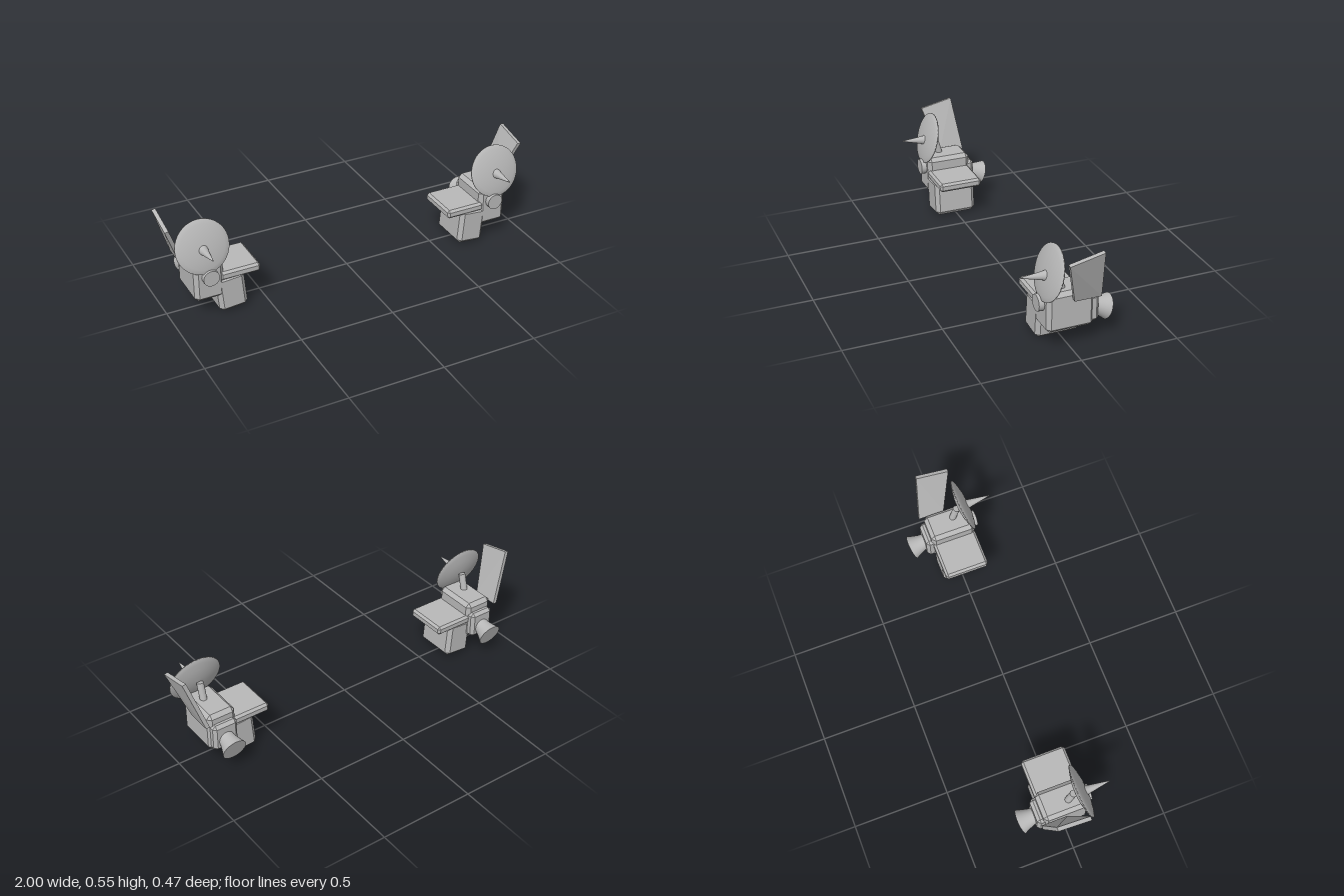
import * as THREE from 'three';
import { ConvexGeometry } from 'three/addons/geometries/ConvexGeometry.js';

const UP = new THREE.Vector3(0, 1, 0);

// Box with chamfered edges, centred on its origin
function chamferBox(w, h, d, c) {
  const pts = [], X = w / 2, Y = h / 2, Z = d / 2;
  for (const i of [-1, 1]) for (const j of [-1, 1]) for (const k of [-1, 1]) {
    pts.push(
      new THREE.Vector3(i * X, j * (Y - c), k * (Z - c)),
      new THREE.Vector3(i * (X - c), j * Y, k * (Z - c)),
      new THREE.Vector3(i * (X - c), j * (Y - c), k * Z));
  }
  return new ConvexGeometry(pts);
}

// Turned part from [radius, height] pairs
function turned(profile, sides = 32) {
  return new THREE.LatheGeometry(profile.map(([r, y]) => new THREE.Vector2(r, y)), sides);
}

// Slanted wing plate, a tapered slab leaning outwards
function wingGeometry(s) {
  const t = 0.02, pts = [];
  const corners = [[0.91, 0.27, -0.138], [0.91, 0.27, 0], [1, 0.51, 0.07], [1, 0.547, -0.104]];
  for (const [x, y, z] of corners) {
    pts.push(new THREE.Vector3(s * x, y - 0.004, z), new THREE.Vector3(s * (x - t), y, z));
  }
  return new ConvexGeometry(pts);
}

function buildUnit(s, grey) {
  const unit = new THREE.Group();
  unit.name = s > 0 ? 'leftUnit' : 'rightUnit';

  const add = (name, geometry, x, y, z, dir) => {
    const mesh = new THREE.Mesh(geometry, grey);
    mesh.name = name;
    mesh.position.set(s * x, y, z);
    if (dir) mesh.quaternion.setFromUnitVectors(UP, new THREE.Vector3(...dir).normalize());
    unit.add(mesh);
    return mesh;
  };

  // Main blocks
  add('body', chamferBox(0.155, 0.207, 0.241, 0.02), 0.8075, 0.2015, 0.002);
  add('shelf', chamferBox(0.215, 0.048, 0.235, 0.012), 0.6445, 0.211, 0.005);
  const leg = add('leg', chamferBox(0.15, 0.2, 0.227, 0.02), 0.69, 0.106, 0.0085);
  leg.rotation.z = -s * 0.085;

  // Dish on a short strut, with a central spike
  const strut = new THREE.CylinderGeometry(0.018, 0.018, 0.11, 16);
  add('dishStrut', strut, 0.822, 0.335, 0.038, [0, 0.95, 0.26]);
  const dish = turned([
    [0, -0.03], [0.04, -0.028], [0.08, -0.021], [0.115, -0.011], [0.139, -0.003],
    [0.139, 0.003], [0.115, 0.01], [0.08, 0.017], [0.04, 0.021], [0, 0.022]], 40);
  add('dish', dish, 0.826, 0.395, 0.0925, [0, 0.292, 0.956]);
  const spike = turned([[0.036, 0], [0.024, 0.015], [0.018, 0.045], [0.0025, 0.138], [0, 0.138]], 20);
  add('dishSpike', spike, 0.828, 0.385, 0.1, [0, 0.013, 0.138]);

  // Round lamp on the front face
  add('frontLamp', new THREE.CylinderGeometry(0.042, 0.042, 0.05, 24), 0.807, 0.238, 0.125, [0, 0, 1]);

  // Rear mount and flared nozzle
  add('rearMount', chamferBox(0.135, 0.145, 0.06, 0.016), 0.807, 0.183, -0.118);
  const nozzle = turned([
    [0, -0.02], [0.04, -0.02], [0.04, 0], [0.044, 0.025], [0.053, 0.055], [0.064, 0.083]]);
  add('nozzle', nozzle, 0.807, 0.168, -0.136, [0, -0.32, -0.95]);
  const cap = new THREE.CircleGeometry(0.064, 32).rotateX(-Math.PI / 2).translate(0, 0.083, 0);
  add('nozzleEnd', cap, 0.807, 0.168, -0.136, [0, -0.32, -0.95]);

  // Side wing plate
  add('wingPlate', wingGeometry(s), 0, 0, 0);
  return unit;
}

export function createModel() {
  const grey = new THREE.MeshStandardMaterial({ color: 0xb8b8b8 });
  grey.name = 'grey';
  const model = new THREE.Group();
  model.name = 'pairOfUnits';
  for (const s of [-1, 1]) model.add(buildUnit(s, grey));
  return model;
}
